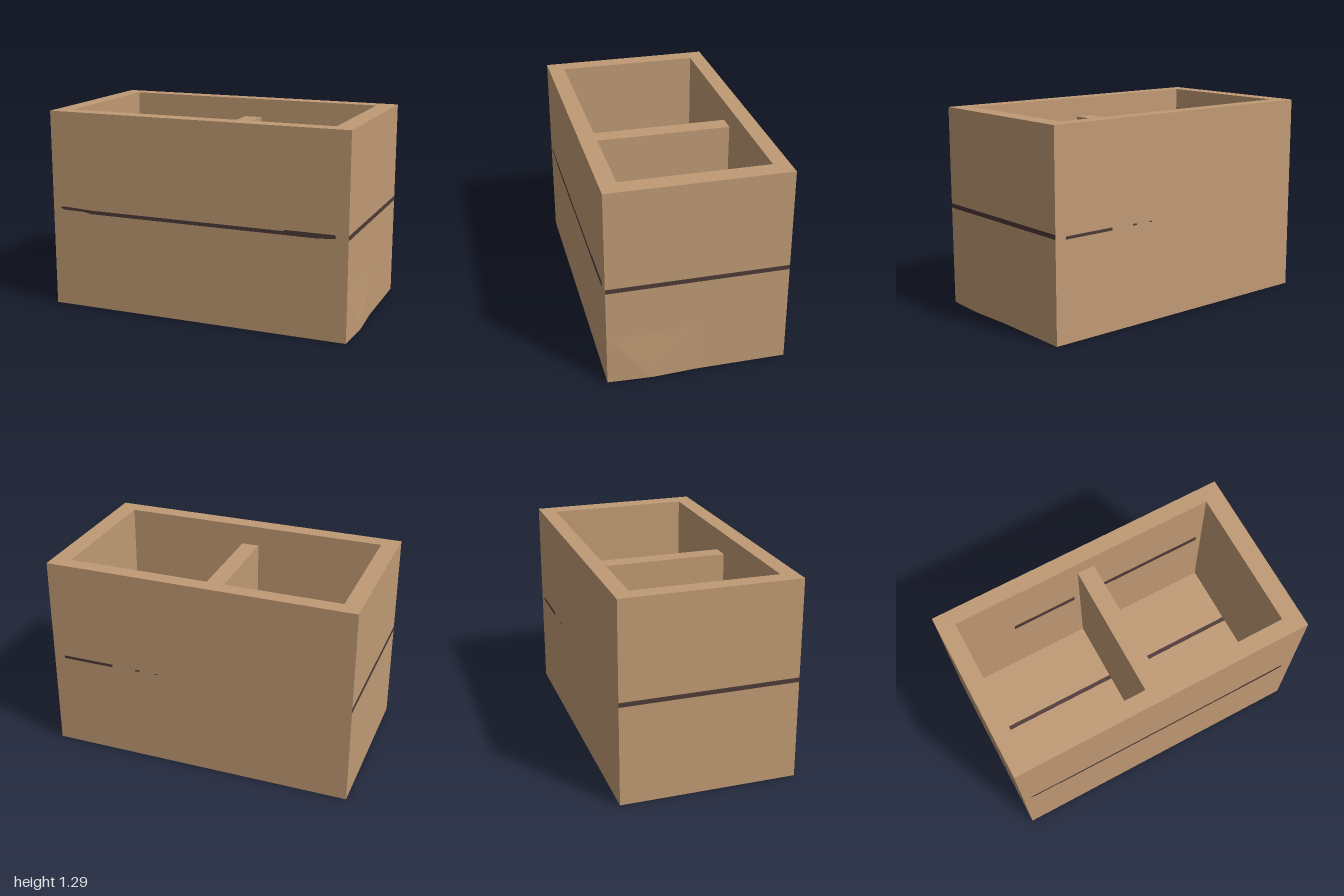
import * as THREE from 'three';

export function createModel() {
  const group = new THREE.Group();
  const wood = new THREE.MeshStandardMaterial({ color: 0xc09a74 });
  wood.name = 'tan wood';
  const dark = new THREE.MeshStandardMaterial({ color: 0x4d3a37 });
  dark.name = 'dark seam';

  const add = (name, geometry, material) => {
    const mesh = new THREE.Mesh(geometry, material);
    mesh.name = name;
    group.add(mesh);
  };
  // Box given by its minimum and maximum corners
  const block = (name, [x0, y0, z0], [x1, y1, z1], material = wood) => {
    const g = new THREE.BoxGeometry(x1 - x0, y1 - y0, z1 - z0);
    g.translate((x0 + x1) / 2, (y0 + y1) / 2, (z0 + z1) / 2);
    add(name, g, material);
  };
  const rectangle = (Type, x0, x1, y0, y1) =>
    new Type([[x0, y0], [x1, y0], [x1, y1], [x0, y1]].map(p => new THREE.Vector2(...p)));

  const L = -1, R = 0.985, H = 1.285, Z = 0.56, floorY = 0.22;
  const inL = -0.89, inR = 0.865, inBack = -0.46, inFront = 0.455;

  // Four walls as a hollow rectangle
  const plan = rectangle(THREE.Shape, L, R, -Z, Z);
  plan.holes.push(rectangle(THREE.Path, inL, inR, -inFront, -inBack));
  const walls = new THREE.ExtrudeGeometry(plan, { depth: H, bevelEnabled: false });
  walls.rotateX(-Math.PI / 2);
  add('walls', walls, wood);

  block('floor', [inL, 0, inBack], [inR, floorY, inFront]);
  block('divider', [-0.06, floorY, inBack], [0.055, 1.16, 0.44]);

  // Slight bulge at the foot of the right wall
  const A = [R, 0, Z], B = [R, 0.32, Z], C = [R, 0.32, 0.28];
  const D = [R, 0.32, 0], E = [R, 0, 0], P = [1, 0, 0.28];
  const bulge = new THREE.BufferGeometry();
  bulge.setAttribute('position', new THREE.Float32BufferAttribute(
    [A, P, B, P, C, B, P, E, D, P, D, C, A, E, P].flat(), 3));
  bulge.computeVertexNormals();
  add('wallBulge', bulge, wood);

  // Seam on the front wall, tapering and rising a little to its left end
  const seam = new THREE.Shape([
    [-0.95, 0.655], [-0.92, 0.643], [-0.78, 0.641], [-0.72, 0.631], [0.78, 0.631],
    [0.9, 0.638], [0.91, 0.648], [0.9, 0.662], [0.59, 0.662], [0.58, 0.654],
    [-0.72, 0.654], [-0.93, 0.664],
  ].map(p => new THREE.Vector2(...p)));
  const frontSeam = new THREE.ExtrudeGeometry(seam, { depth: 0.004, bevelEnabled: false });
  frontSeam.translate(0, 0, Z - 0.002);
  add('frontSeam', frontSeam, dark);

  // Seams across the end walls
  const t = 0.002;
  for (const [name, x] of [['leftSeam', R], ['rightSeam', L]])
    block(name, [x - t, 0.635, -Z], [x + t, 0.663, Z], dark);

  // Broken seams on the back wall and underside
  for (const [x0, x1, h] of [[0.57, 0.91, 0.018], [0.38, 0.41, 0.01], [0.26, 0.275, 0.006]])
    block('backSeam', [x0, 0.634 - h / 2, -Z - t], [x1, 0.634 + h / 2, -Z + t], dark);
  for (const [x0, x1, z] of [[0.72, 0.97, -0.01], [0.48, 0.68, 0], [-0.3, 0.1, 0.01], [-0.98, -0.4, 0.025]])
    block('undersideSeam', [x0, -t, z - 0.006], [x1, t, z + 0.006], dark);

  // Seams inside both compartments
  for (const [x0, x1, wallX] of [[inL, -0.06, -0.54], [0.055, inR, 0.055]]) {
    block('floorSeam', [x0, floorY - t, -0.057], [x1, floorY + t, -0.03], dark);
    block('innerBackSeam', [wallX, 0.79, inBack - t], [x1 - 0.04, 0.83, inBack + t], dark);
  }
  return group;
}
